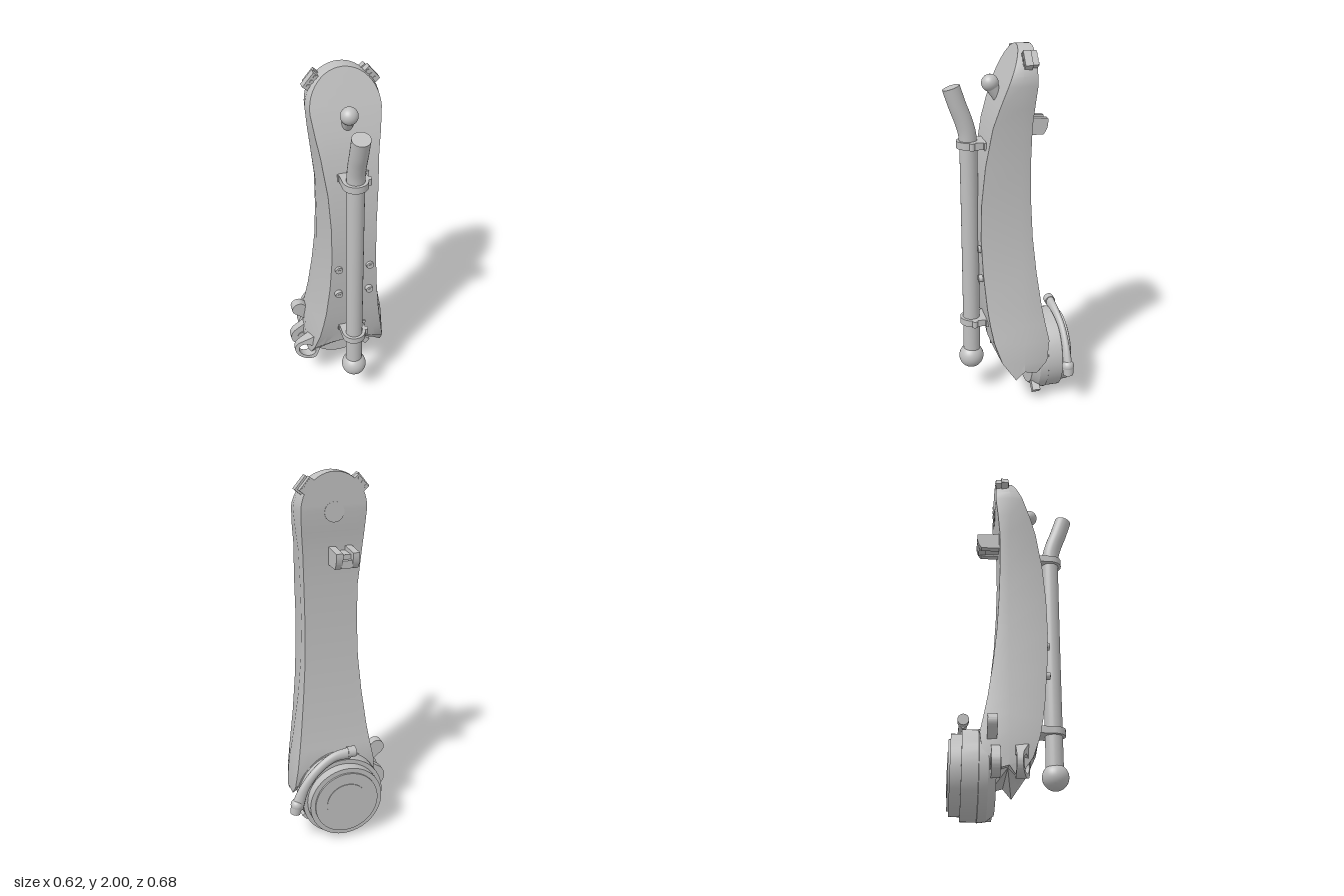
import * as THREE from 'three';
import { toCreasedNormals } from 'three/addons/utils/BufferGeometryUtils.js';

const grey = new THREE.MeshStandardMaterial({ color: 0xc0c0c0 });
grey.name = 'light grey metal';
const V = (x, y, z) => new THREE.Vector3(x, y, z);

function add(parent, name, geometry, x = 0, y = 0, z = 0) {
  const mesh = new THREE.Mesh(geometry, grey);
  mesh.name = name;
  mesh.position.set(x, y, z);
  parent.add(mesh);
  return mesh;
}

const box = (w, h, d) => new THREE.BoxGeometry(w, h, d);
const cylZ = (r1, r2, len, n = 24) => new THREE.CylinderGeometry(r1, r2, len, n).rotateX(Math.PI / 2);

// Flat plate from z0 to z1; its front may slope along x
function plate(shape, z0, z1, slope = 0) {
  const g = new THREE.ExtrudeGeometry(shape, { depth: z1 - z0, bevelEnabled: false, curveSegments: 16 });
  const p = g.translate(0, 0, z0).attributes.position;
  for (let i = 0; i < p.count; i++) {
    if (p.getZ(i) > (z0 + z1) / 2) p.setZ(i, z1 + slope * (p.getX(i) + 0.31));
  }
  return toCreasedNormals(g, 0.6);
}

// Arm shell lofted from cross-sections
function shellGeometry() {
  // y, front / side / back half width, front / side / back z
  const rows = [
    [0.2, 0.222, 0.243, 0.235, 0.005, -0.04, -0.11],
    [0.28, 0.21, 0.243, 0.235, 0.08, -0.04, -0.17],
    [0.4, 0.185, 0.233, 0.222, 0.12, -0.04, -0.185],
    [0.5, 0.168, 0.215, 0.205, 0.138, -0.04, -0.165],
    [0.6, 0.153, 0.2, 0.19, 0.151, -0.04, -0.147],
    [0.8, 0.133, 0.173, 0.167, 0.167, -0.04, -0.12],
    [1.0, 0.122, 0.156, 0.15, 0.175, -0.04, -0.101],
    [1.2, 0.122, 0.15, 0.145, 0.169, -0.04, -0.091],
    [1.4, 0.132, 0.153, 0.147, 0.149, -0.04, -0.087],
    [1.6, 0.15, 0.168, 0.16, 0.111, -0.04, -0.092],
    [1.7, 0.166, 0.18, 0.168, 0.079, -0.035, -0.102],
    [1.81, 0.18, 0.19, 0.174, 0.038, -0.03, -0.116],
  ];
  // Rounded top
  for (let i = 1; i <= 12; i++) {
    const a = (i / 12) * Math.PI / 2, c = Math.cos(a), dy = 0.19 * Math.sin(a);
    rows.push([1.81 + dy, 0.18 * c, 0.19 * c, 0.174 * c, 0.038 - 0.42 * dy, -0.03 - 0.17 * dy, -0.116]);
  }
  const pos = [], idx = [], steps = 8;
  rows.forEach(([y, wf, ws, wb, zf, zs, zb], r) => {
    const loop = [];
    for (let i = 0; i <= steps; i++) loop.push([wf * (2 * i / steps - 1), zf]);
    loop.push([ws, zs]);
    for (let i = 0; i <= steps; i++) loop.push([wb * (1 - 2 * i / steps), zb]);
    loop.push([-ws, zs]);
    // Lower rim: front corners drop, middle arches upward over the joint
    const arch = [0.14, 0.06][r] || 0;
    for (const [x, z] of loop) {
      const k = Math.max(0, 1 - (x / wf) ** 2);
      const drop = r > 0 ? 0 : z > 0 ? -0.03 : z > -0.1 ? 0.03 : 0.01;
      pos.push(x + (y < 1.5 ? 0.007 : 0), y + arch * k + drop, z + (z > 0 ? arch * 0.55 * k : 0));
    }
  });
  const n = 2 * steps + 4;
  for (let r = 0; r < rows.length - 1; r++) {
    for (let j = 0; j < n; j++) {
      const a = r * n + j, b = r * n + (j + 1) % n;
      idx.push(a, b, b + n, a, b + n, a + n);
    }
  }
  const centre = pos.length / 3;
  pos.push(0, 0.28, -0.03);
  for (let j = 0; j < n; j++) idx.push(centre, (j + 1) % n, j);
  const g = new THREE.BufferGeometry();
  g.setAttribute('position', new THREE.Float32BufferAttribute(pos, 3));
  g.setIndex(idx);
  return toCreasedNormals(g, 0.4);
}

// Tube flattened in z whose thickness follows a rule along its length
function taperedTube(curve, segs, radius, sides, rule) {
  const g = new THREE.TubeGeometry(curve, segs, radius, sides);
  const p = g.attributes.position, v = new THREE.Vector3();
  for (let i = 0; i <= segs; i++) {
    const c = curve.getPointAt(i / segs), s = rule(i / segs);
    for (let j = 0; j <= sides; j++) {
      const k = i * (sides + 1) + j;
      v.fromBufferAttribute(p, k).sub(c).multiply(V(1.35 * s, 1.35 * s, s)).add(c);
      p.setXYZ(k, v.x, v.y, v.z);
    }
  }
  g.computeVertexNormals();
  return g;
}

export function createModel() {
  const model = new THREE.Group();
  model.name = 'mechanical arm link';
  add(model, 'armShell', shellGeometry());

  // Stepped round joint behind the lower end
  const profile = [[0, 0.1], [0.2, 0.1], [0.23, 0.14], [0.235, 0.185], [0.231, 0.187], [0.231, 0.27],
    [0.207, 0.27], [0.207, 0.325], [0.18, 0.325], [0.18, 0.335], [0.115, 0.335], [0.115, 0.339], [0, 0.339]];
  const joint = new THREE.LatheGeometry(profile.map(([r, y]) => new THREE.Vector2(r, y)), 56);
  add(model, 'jointHousing', toCreasedNormals(joint.rotateX(-Math.PI / 2), 0.5), -0.004, 0.236, 0);
  const tab = add(model, 'jointTab', box(0.06, 0.04, 0.045), 0.162, 0.075, -0.125);
  tab.rotation.z = -0.75;

  // Locking lever wrapped over the joint
  const lever = new THREE.Group();
  lever.name = 'lockingLever';
  model.add(lever);
  const path = new THREE.CatmullRomCurve3([V(-0.04, 0.505, -0.265), V(0.05, 0.494, -0.268),
    V(0.15, 0.435, -0.28), V(0.225, 0.34, -0.284), V(0.268, 0.23, -0.285)]);
  add(lever, 'leverArm', taperedTube(path, 32, 0.022, 14, (t) => 1.15 - 1.3 * t + 1.4 * t * t));
  add(lever, 'leverHub', new THREE.CylinderGeometry(0.03, 0.03, 0.045, 20).rotateZ(Math.PI / 2), -0.05, 0.51, -0.265);
  const tip = add(lever, 'leverTip', new THREE.CylinderGeometry(0.032, 0.028, 0.05, 20), 0.274, 0.22, -0.285);
  tip.rotation.z = 0.2;
  add(lever, 'leverKnob', new THREE.SphereGeometry(0.034, 20, 14), 0.269, 0.248, -0.285);

  // Forked ring lug on the right flank
  const lug = new THREE.Group();
  lug.name = 'sideLug';
  model.add(lug);
  const ring = (hole) => {
    const s = new THREE.Shape();
    s.absarc(-0.24, 0.236, 0.07, 2.2, 5.5, false);
    s.lineTo(-0.17, 0.25);
    s.lineTo(-0.17, 0.37);
    s.closePath();
    const h = new THREE.Path();
    h.absarc(-0.24, 0.236, hole, 0, Math.PI * 2, true);
    s.holes.push(h);
    return s;
  };
  add(lug, 'frontRing', plate(ring(0.047), -0.01, 0.02, 0.35));
  add(lug, 'rearRing', plate(ring(0.02), -0.13, -0.085));
  add(lug, 'lugPin', cylZ(0.03, 0.03, 0.055), -0.24, 0.236, -0.107);
  const lobe = new THREE.Shape();
  lobe.absarc(-0.25, 0.44, 0.042, 0.9, 4, false);
  lobe.lineTo(-0.15, 0.3);
  lobe.lineTo(-0.15, 0.4);
  lobe.closePath();
  add(lug, 'rearLobe', plate(lobe, -0.15, -0.1));

  // Front rod with ball end and bent upper end
  const rod = new THREE.Group();
  rod.name = 'frontRod';
  model.add(rod);
  const rodPath = new THREE.CatmullRomCurve3([V(0, 0.24, 0.212), V(0, 0.8, 0.21), V(0, 1.42, 0.21),
    V(0, 1.5, 0.211), V(0, 1.56, 0.218), V(0, 1.62, 0.235), V(0, 1.69, 0.261), V(0, 1.79, 0.294)]);
  add(rod, 'rodTube', new THREE.TubeGeometry(rodPath, 90, 0.047, 24));
  const cap = add(rod, 'rodCap', new THREE.CircleGeometry(0.047, 24), 0, 1.79, 0.294);
  cap.lookAt(cap.position.clone().add(rodPath.getTangentAt(1)));
  add(rod, 'rodBall', new THREE.SphereGeometry(0.07, 32, 20), 0, 0.235, 0.215);

  // Clamps holding the rod
  for (const y of [0.47, 1.493]) {
    const clamp = new THREE.Group();
    clamp.name = 'rodClamp';
    model.add(clamp);
    add(clamp, 'clampRing', new THREE.CylinderGeometry(0.066, 0.066, 0.038, 28), 0, y, 0.208);
    add(clamp, 'clampBlock', box(0.136, 0.038, 0.08), 0.002, y, 0.168);
    add(clamp, 'clampFoot', box(0.16, 0.038, 0.012), 0.008, y, 0.137);
    add(clamp, 'clampEar', new THREE.CylinderGeometry(0.015, 0.015, 0.038, 14), 0.071, y, 0.203);
  }

  // Screws on the front face
  for (const x of [-0.079, 0.095]) for (const y of [0.76, 0.933]) {
    add(model, 'screw', cylZ(0.02, 0.022, 0.03, 18), x, y, 0.172);
    add(model, 'screwCentre', cylZ(0.009, 0.009, 0.004, 6), x, y, 0.188);
  }

  // Ball stud near the top, with tapered neck
  add(model, 'studBall', new THREE.SphereGeometry(0.045, 28, 18), 0, 1.805, 0.092);
  const neck = add(model, 'studNeck', new THREE.CylinderGeometry(0.036, 0.026, 0.08, 20), 0, 1.758, 0.066);
  neck.rotation.x = 0.5;

  // Pair of two-step edge clips on the rounded top
  for (const s of [-1, 1]) {
    const clip = new THREE.Group();
    clip.name = 'edgeClip';
    clip.position.set(s * 0.147, 1.937, 0);
    clip.rotation.z = -s * 0.87;
    model.add(clip);
    add(clip, 'clipFront', box(0.088, 0.045, 0.04), s * 0.004, 0, -0.065);
    add(clip, 'clipRear', box(0.084, 0.04, 0.032), -s * 0.004, -0.008, -0.1);
    for (const x of [-0.027, 0, 0.027]) add(clip, 'clipPin', cylZ(0.009, 0.009, 0.078, 12), x, 0.002, -0.08);
  }

  // Pivot cover and cable hook on the back
  add(model, 'pivotCover', cylZ(0.052, 0.052, 0.004, 32), 0, 1.8, -0.116);
  const hook = new THREE.Group();
  hook.name = 'backHook';
  model.add(hook);
  add(hook, 'hookBase', box(0.09, 0.06, 0.1), -0.038, 1.565, -0.13);
  add(hook, 'hookWeb', box(0.06, 0.04, 0.04), -0.038, 1.55, -0.185);
  const prong = new THREE.Shape();
  prong.moveTo(-0.08, 0);
  prong.lineTo(0.095, 0);
  prong.quadraticCurveTo(0.125, 0.03, 0.12, 0.085);
  prong.lineTo(-0.08, 0.1);
  prong.closePath();
  for (const x of [-0.102, -0.013]) {
    add(hook, 'hookProng', plate(prong, 0, 0.036).rotateY(Math.PI / 2), x, 1.525, -0.095);
  }
  return model;
}
